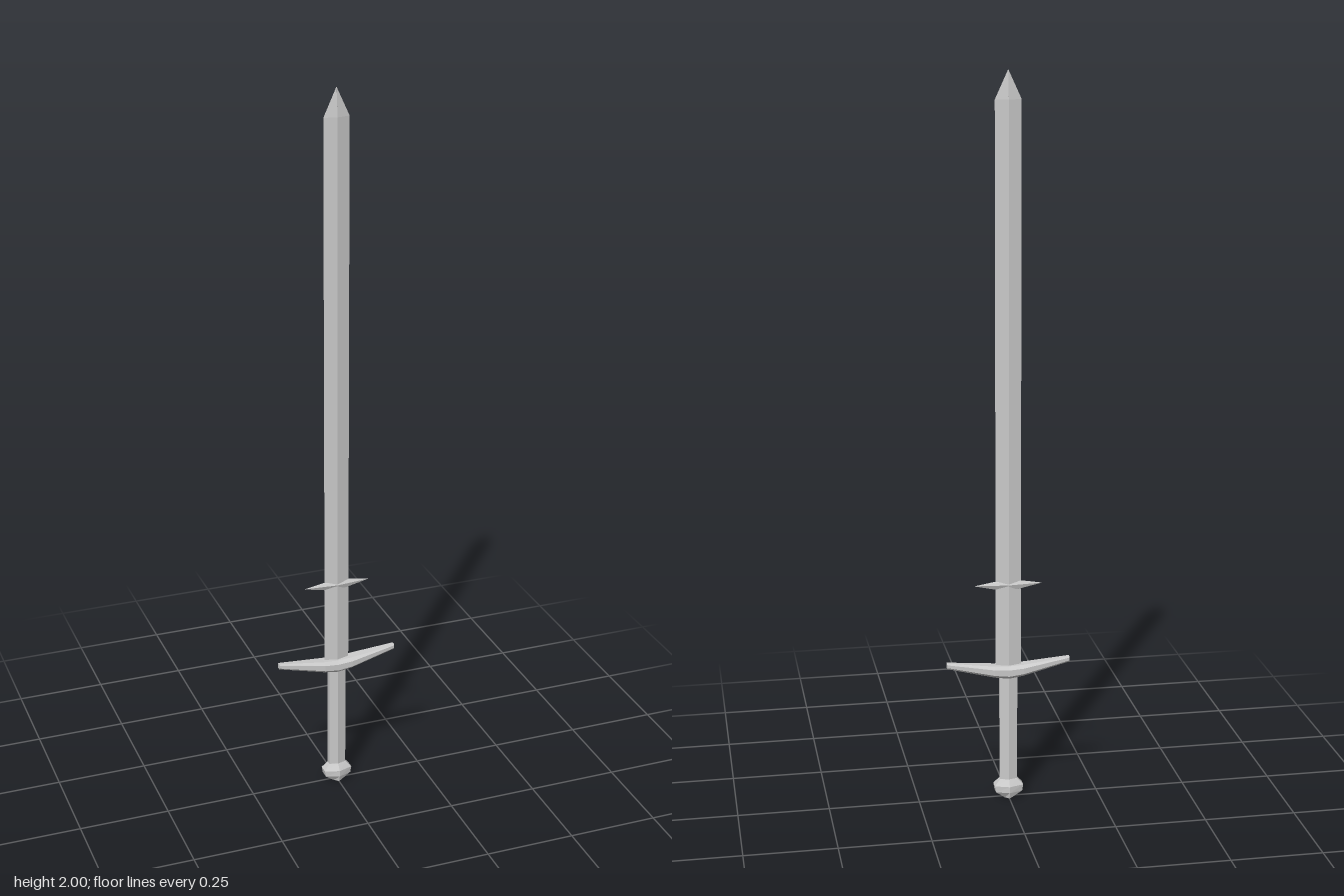
import * as THREE from 'three';

const material = new THREE.MeshStandardMaterial({ color: 0xcccccc, flatShading: true });

// Skin a stack of equal-length rings; rings run counterclockwise seen from the stack's far end.
function loft(name, rings) {
  const n = rings[0].length, pos = [], index = [];
  rings.forEach(r => r.forEach(p => pos.push(...p)));
  for (let i = 0; i < rings.length - 1; i++)
    for (let j = 0; j < n; j++) {
      const a = i * n + j, b = i * n + (j + 1) % n;
      index.push(a, b, b + n, a, b + n, a + n);
    }
  const last = (rings.length - 1) * n;
  for (let j = 1; j < n - 1; j++) {
    index.push(0, j + 1, j);
    index.push(last, last + j, last + j + 1);
  }
  const geo = new THREE.BufferGeometry();
  geo.setAttribute('position', new THREE.Float32BufferAttribute(pos, 3));
  geo.setIndex(index);
  const flat = geo.toNonIndexed();
  flat.computeVertexNormals();
  const mesh = new THREE.Mesh(flat, material);
  mesh.name = name;
  return mesh;
}

// Horizontal rings: a diamond, and a hexagon with ridges at front and back.
const diamond = (y, w, d) => [[w, y, 0], [0, y, -d], [-w, y, 0], [0, y, d]];
const hexagon = (y, w, d) => [
  [w, y, d / 2], [w, y, -d / 2], [0, y, -d],
  [-w, y, -d / 2], [-w, y, d / 2], [0, y, d],
];

// Upright section of the crossguard at a given x, with chamfered top and bottom edges.
const guardSection = (x, y0, y1, d) => {
  const c = (y1 - y0) * 0.25;
  return [
    [x, y0, d * 0.6], [x, y0, -d * 0.6], [x, y0 + c, -d], [x, y1 - c, -d],
    [x, y1, -d * 0.6], [x, y1, d * 0.6], [x, y1 - c, d], [x, y0 + c, d],
  ];
};

export function createModel() {
  const model = new THREE.Group();
  model.name = 'sword';

  // Long diamond-section blade with a short point
  model.add(loft('blade', [
    diamond(0.37, 0.035, 0.008), diamond(1.925, 0.035, 0.008), diamond(2, 0.0005, 0.0005),
  ]));

  // Small pointed side lugs above the guard
  model.add(loft('bladeLugs', [
    diamond(0.602, 0.012, 0.004), diamond(0.62, 0.094, 0.009), diamond(0.63, 0.035, 0.004),
  ]));

  // Crossguard sweeping up towards slim ends
  model.add(loft('crossguard', [
    guardSection(-0.17, 0.388, 0.404, 0.007),
    guardSection(-0.04, 0.358, 0.39, 0.022),
    guardSection(0, 0.352, 0.388, 0.022),
    guardSection(0.04, 0.358, 0.39, 0.022),
    guardSection(0.17, 0.388, 0.404, 0.007),
  ]));

  // Grip
  model.add(loft('grip', [hexagon(0.04, 0.024, 0.014), hexagon(0.37, 0.024, 0.014)]));

  // Faceted pommel
  model.add(loft('pommel', [
    hexagon(0, 0.012, 0.022), hexagon(0.018, 0.037, 0.027),
    hexagon(0.036, 0.04, 0.027), hexagon(0.054, 0.024, 0.015),
  ]));

  return model;
}
